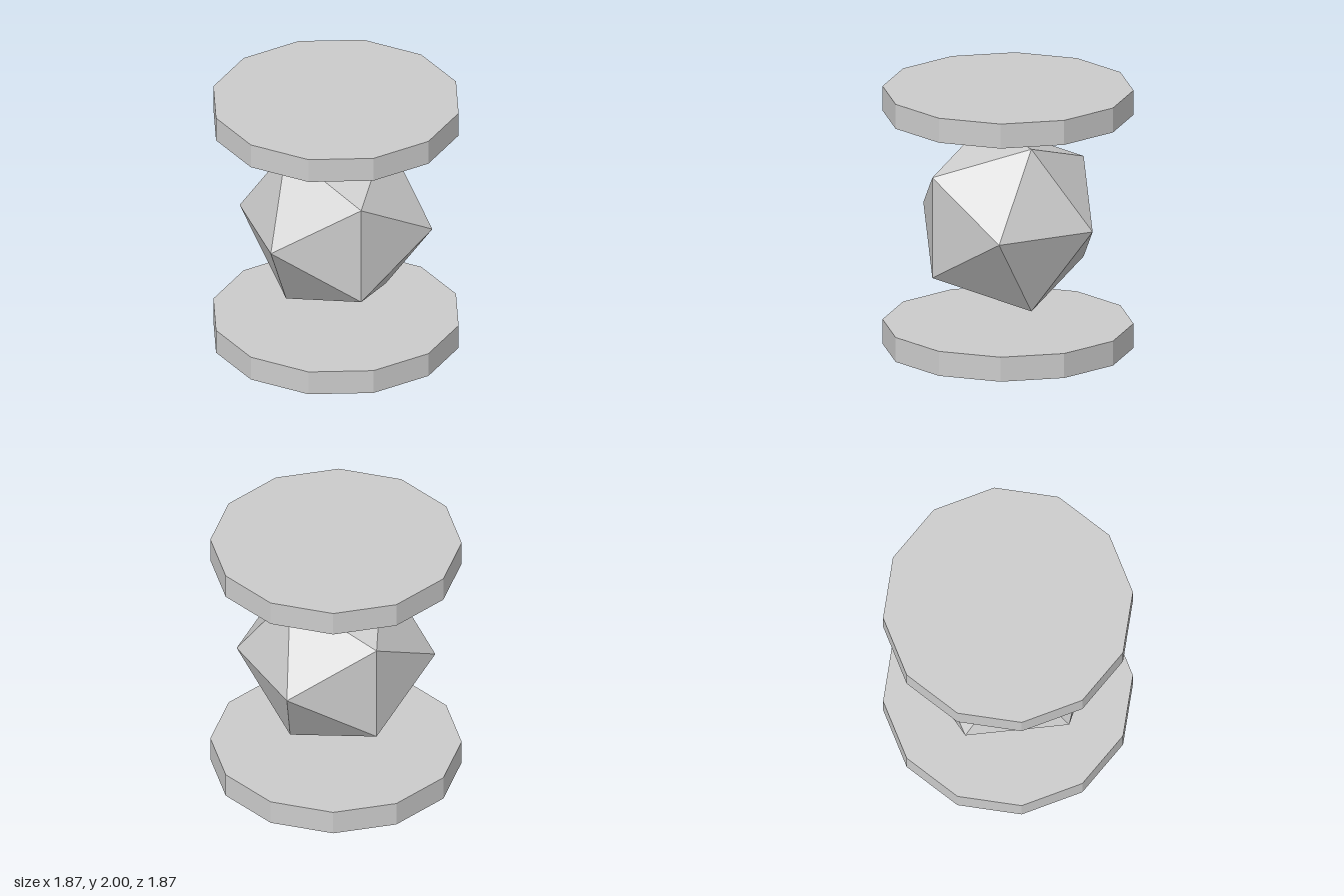
import * as THREE from 'three';

const RADIUS = 0.935;
const THICKNESS = 0.19;

export function createModel() {
  const group = new THREE.Group();
  group.name = 'gemBetweenDiscs';
  const material = new THREE.MeshStandardMaterial({ color: 0xcccccc, flatShading: true });

  function add(name, geometry, y) {
    const mesh = new THREE.Mesh(geometry, material);
    mesh.name = name;
    mesh.position.y = y;
    group.add(mesh);
  }

  // Twelve-sided discs at the bottom and top
  const disc = new THREE.CylinderGeometry(RADIUS, RADIUS, THICKNESS, 12);
  add('bottomDisc', disc, THICKNESS / 2);
  add('topDisc', disc, 2 - THICKNESS / 2);

  // Faceted gem floating midway between them
  add('gem', new THREE.IcosahedronGeometry(0.74, 0), 1);

  return group;
}
